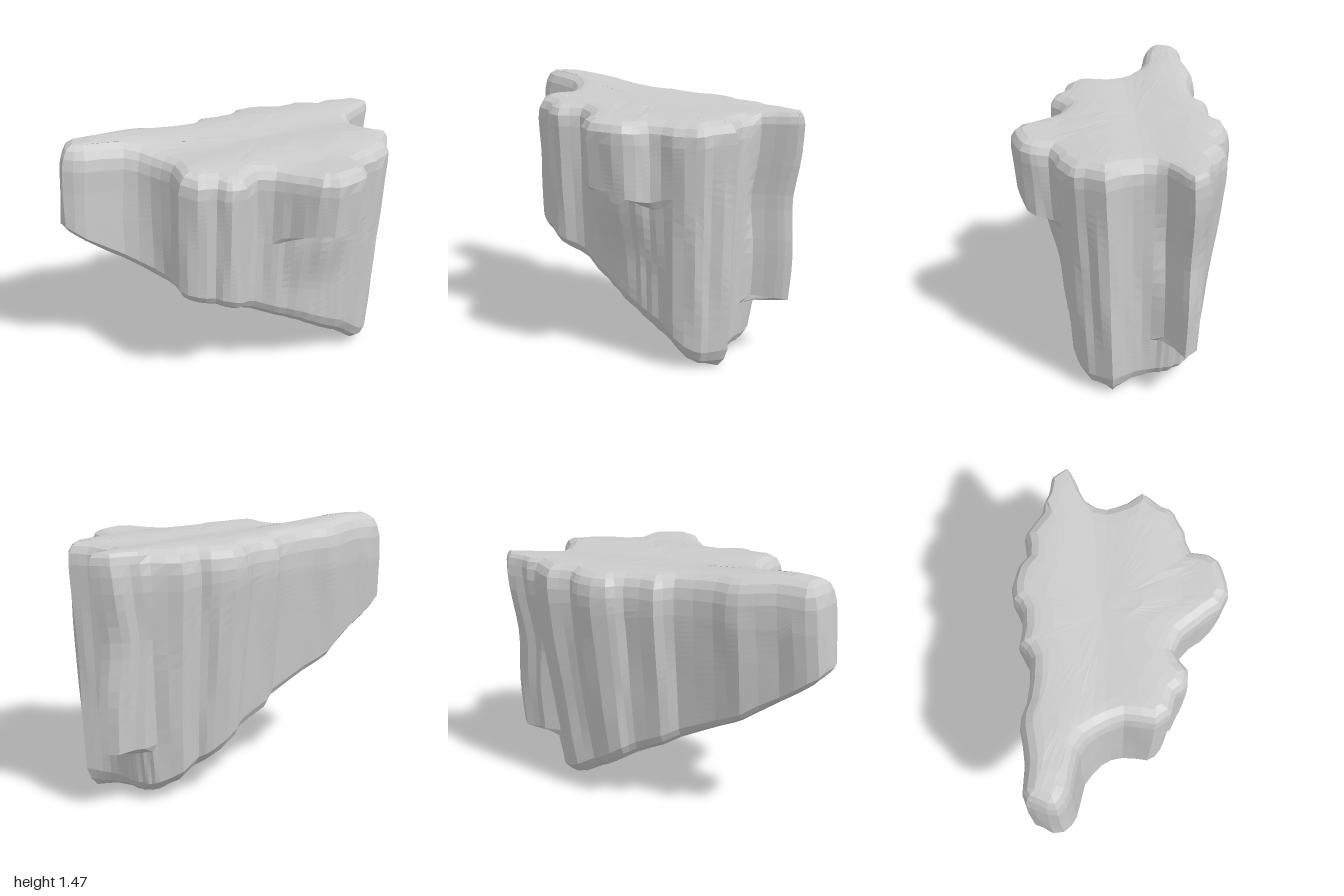
import * as THREE from 'three';

const { lerp, clamp, smoothstep } = THREE.MathUtils;

// Plan outline (x, z) at the top; optional base x, z that applies below an overhang at height y
const OUTLINE = [
  [-1, -0.31], [-0.98, -0.43], [-0.9, -0.5], [-0.74, -0.485], [-0.53, -0.525], [-0.38, -0.495],
  [-0.15, -0.48], [-0.06, -0.54], [0.12, -0.53], [0.2, -0.585], [0.38, -0.58], [0.46, -0.52], [0.59, -0.53],
  [0.73, -0.45],
  // side fin
  [0.83, -0.41, 0.77, -0.41, 0.32], [0.93, -0.39, 0.79, -0.37, 0.31], [1.0, -0.3, 0.81, -0.31, 0.31],
  [0.93, -0.25, 0.81, -0.25, 0.32], [0.8, -0.19, 0.79, -0.19, 0.32],
  // right side and front corner
  [0.77, -0.08], [0.8, 0.03], [0.86, 0.12], [0.79, 0.23], [0.74, 0.31], [0.62, 0.36],
  // overhanging front bulge
  [0.5, 0.4, 0.51, 0.36, 0.92], [0.48, 0.5, 0.43, 0.37, 0.94], [0.38, 0.57, 0.36, 0.38, 0.97],
  [0.23, 0.59, 0.25, 0.39, 1.0], [0.14, 0.54, 0.15, 0.37, 1.0], [0.05, 0.42, 0.05, 0.35, 0.96],
  // front left corner and the arm behind it
  [-0.02, 0.34], [-0.1, 0.3], [-0.2, 0.36], [-0.29, 0.36], [-0.35, 0.3], [-0.45, 0.27], [-0.52, 0.18],
  [-0.5, 0.02], [-0.56, -0.11], [-0.69, -0.21], [-0.9, -0.245],
];
// Sloping underside, height against x
const UNDERSIDE = [[-1, 0.97], [-0.8, 0.82], [-0.5, 0.62], [0, 0.37], [0.2, 0.27], [0.4, 0.14], [0.6, 0.04], [0.72, 0], [0.9, 0.03]];
const CENTRE = { x: 0.1, z: -0.1 };
const SEGMENTS = OUTLINE.length * 2;
const UPPER_ROWS = 12, LOWER_ROWS = 11;
const LEDGE = 0.022;

// Underside height, rising a little toward the front in the middle
function bottomY(x, z) {
  const rise = 0.06 * smoothstep(z, -0.15, 0.3) * smoothstep(x, -0.55, -0.2) * (1 - smoothstep(x, 0.45, 0.7));
  for (let i = 1; i < UNDERSIDE.length; i++) {
    const [x0, y0] = UNDERSIDE[i - 1], [x1, y1] = UNDERSIDE[i];
    if (x <= x1) return rise + y0 + (y1 - y0) * Math.max(0, (x - x0) / (x1 - x0));
  }
  return 0.03;
}

function topY(x, z) {
  const backLeft = Math.exp(-((x + 0.75) ** 2) / 0.15 - ((z + 0.38) ** 2) / 0.05);
  return 1.398 - 0.02 * x - 0.02 * z + 0.04 * backLeft + 0.008 * Math.sin(z * 14);
}

// Height where the wall rows split; eases from the bulge's ledge to the fin's
function splitY(x, z) {
  return lerp(0.95, 0.32, clamp(Math.min(x / 0.6, (0.35 - z) / 0.45), 0, 1));
}

function createRockGeometry() {
  const topCurve = new THREE.CatmullRomCurve3(OUTLINE.map(([x, z]) => new THREE.Vector3(x, 0, z)), true);
  const baseCurve = new THREE.CatmullRomCurve3(OUTLINE.map(([x, z, bx = x, bz = z, y = splitY(x, z)]) =>
    new THREE.Vector3(bx, y, bz)), true);
  const tops = [], bases = [];
  for (let i = 0; i < SEGMENTS; i++) {
    tops.push(topCurve.getPoint(i / SEGMENTS));
    bases.push(baseCurve.getPoint(i / SEGMENTS));
  }
  const onFin = (i) => tops[i].x > 0.78 && tops[i].z < -0.15;

  // Outline at a height: overhang step, taper toward the foot, slight roughness
  const section = (index, y) => {
    const i = (index + SEGMENTS) % SEGMENTS;
    const a = tops[i], b = bases[i];
    const under = 1 - smoothstep(y, b.y - LEDGE, b.y + LEDGE);
    const k = a.z > 0.3 ? under * (1 - 0.3 * smoothstep(y, 0.55, 0.95)) : under;
    const d = clamp((1.4 - y) / 1.4, 0, 1);
    let x = lerp(a.x, b.x, k), z = lerp(a.z, b.z, k);
    if (x < -0.6) x += 0.06 * Math.max(0, y - 1);
    if (onFin(i)) {
      x -= 0.04 * (1 - k) * Math.exp(-(((y - 0.9) / 0.2) ** 2));
      z -= 0.05 * (1 - k) * d;
    }
    // the back right corner draws in more than the front one
    const cornerTaper = 0.1 * d * d * smoothstep(-z, 0, 0.35) * (onFin(i) ? under : 1);
    if (x > 0) x *= 1 - 0.08 * d - cornerTaper;
    const zTaper = z < CENTRE.z ? 0.3 * clamp((1.2 - y) / 1.2, 0, 1) : 0.2 * d;
    z = CENTRE.z + (z - CENTRE.z) * (1 - zTaper);
    const rough = 1 + 0.012 * Math.sin(i * 2.4 + 1.3 * Math.sin(y * 6 + i * 0.3));
    return { x: lerp(x, CENTRE.x + (x - CENTRE.x) * rough, 0.5), z: CENTRE.z + (z - CENTRE.z) * rough };
  };
  // Section point moved inward along its normal, then scaled toward the centre
  const inner = (i, y, inset, scale) => {
    const p = section(i, y), q = section(i - 1, y), r = section(i + 1, y);
    const dx = r.x - q.x, dz = r.z - q.z, len = Math.hypot(dx, dz) || 1;
    const x = p.x - inset * dz / len, z = p.z + inset * dx / len;
    return { x: CENTRE.x + (x - CENTRE.x) * scale, z: CENTRE.z + (z - CENTRE.z) * scale };
  };

  const positions = [], index = [];
  const addRing = (pointAt) => {
    for (let i = 0; i < SEGMENTS; i++) positions.push(...pointAt(i));
  };
  // top cap and rounded rim: scale, inset, drop
  const rim = [[0.001, 0.075, 0], [0.35, 0.075, 0], [0.7, 0.075, 0], [0.9, 0.075, 0], [1, 0.075, 0.003], [1, 0.035, 0.022], [1, 0.012, 0.06]];
  for (const [scale, inset, drop] of rim) {
    addRing((i) => {
      const p = inner(i, 1.4, inset * (onFin(i) ? 0.4 : 1), scale);
      return [p.x, topY(p.x, p.z) - drop, p.z];
    });
  }
  // walls, with rows meeting the upper and lower edge of each ledge
  const edgeHeight = (x) => lerp(0.03, 0.1, clamp((x + 1) / 1.5, 0, 1));
  for (let row = 0; row < UPPER_ROWS + LOWER_ROWS; row++) {
    addRing((i) => {
      const { x, y: ledge, z } = bases[i];
      const high = topY(tops[i].x, tops[i].z) - 0.12;
      const low = bottomY(x > 0 ? x * 0.92 : x, z) + edgeHeight(x);
      const split = ledge < low + 0.1 ? (high + low) / 2 : ledge;
      const y = row < UPPER_ROWS
        ? lerp(high, split + LEDGE, row / (UPPER_ROWS - 1))
        : lerp(split - LEDGE, low, (row - UPPER_ROWS) / (LOWER_ROWS - 1));
      const p = section(i, y);
      return [p.x, y, p.z];
    });
  }
  // rounded lower edge and underside: scale, inset, lift
  const foot = [[1, 0.02, 0.4], [1, 0.06, 0], [0.85, 0.06, 0], [0.6, 0.06, 0], [0.3, 0.06, 0], [0.001, 0.06, 0]];
  for (const [scale, inset, lift] of foot) {
    addRing((i) => {
      const { x, z } = bases[i];
      const p = inner(i, bottomY(x, z) + 0.03, inset, scale);
      return [p.x, bottomY(p.x, p.z) + lift * edgeHeight(x), p.z];
    });
  }

  const rings = positions.length / 3 / SEGMENTS;
  for (let r = 0; r < rings - 1; r++) {
    for (let i = 0; i < SEGMENTS; i++) {
      const a = r * SEGMENTS + i, b = r * SEGMENTS + (i + 1) % SEGMENTS;
      index.push(a, b, b + SEGMENTS, a, b + SEGMENTS, a + SEGMENTS);
    }
  }
  const geometry = new THREE.BufferGeometry();
  geometry.setAttribute('position', new THREE.Float32BufferAttribute(positions, 3));
  geometry.setIndex(index);
  geometry.computeVertexNormals();
  geometry.computeBoundingBox();
  geometry.translate(0, -geometry.boundingBox.min.y, 0);
  return geometry;
}

export function createModel() {
  const group = new THREE.Group();
  group.name = 'cliffRock';
  const rock = new THREE.Mesh(createRockGeometry(),
    new THREE.MeshStandardMaterial({ color: 0xcccccc, flatShading: true }));
  rock.name = 'rockBody';
  group.add(rock);
  return group;
}
